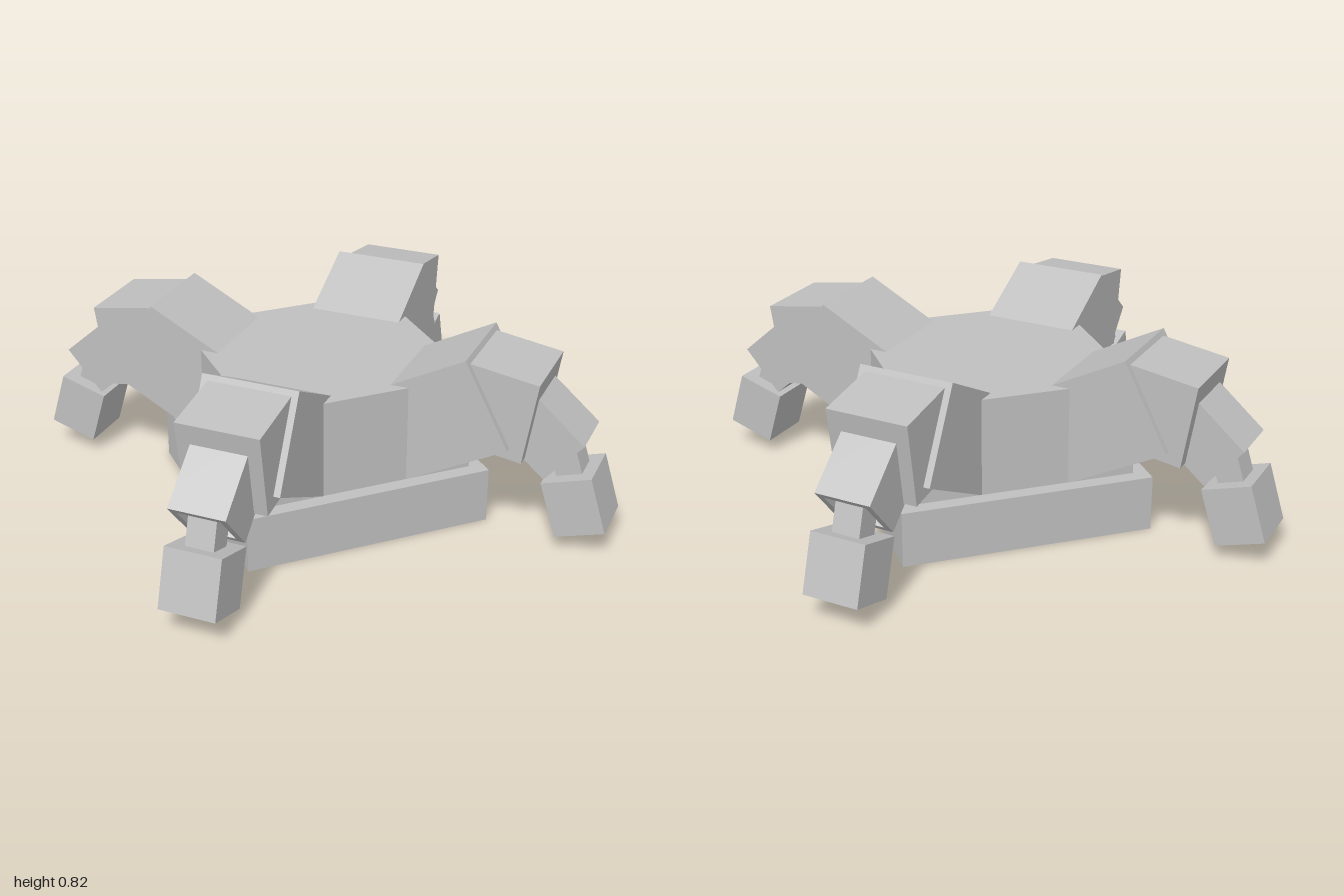
import * as THREE from 'three';

const grey = new THREE.MeshStandardMaterial({ color: 0xbfbfbf });
grey.name = 'plain grey';

function mesh(name, geometry) {
  const m = new THREE.Mesh(geometry, grey);
  m.name = name;
  return m;
}

// Box hung from its outer top edge at (y, z), pitched down by some degrees
function limb(name, y, z, pitch, width, depth, length) {
  const geometry = new THREE.BoxGeometry(width, depth, length);
  geometry.translate(0, -depth / 2, -length / 2);
  return place(mesh(name, geometry), y, z, pitch);
}

function place(m, y, z, pitch) {
  m.position.set(0, y, z);
  m.rotation.x = THREE.MathUtils.degToRad(pitch);
  return m;
}

function rectangle(target, halfWidth, top, bottom) {
  target.moveTo(-halfWidth, bottom);
  target.lineTo(halfWidth, bottom);
  target.lineTo(halfWidth, top);
  target.lineTo(-halfWidth, top);
  target.closePath();
  return target;
}

// Elbow block with a square socket in its outer end
function elbow() {
  const width = 0.24, depth = 0.24, wall = 0.03, socket = 0.1;
  const g = new THREE.Group();
  g.name = 'elbow';
  const shape = rectangle(new THREE.Shape(), width / 2, 0, -depth);
  shape.holes.push(rectangle(new THREE.Path(), width / 2 - wall, -wall, wall - depth));
  const rim = new THREE.ExtrudeGeometry(shape, { depth: socket, bevelEnabled: false });
  rim.translate(0, 0, -socket);
  g.add(mesh('elbowSocket', rim));
  const core = new THREE.BoxGeometry(width, depth, 0.24);
  core.translate(0, -depth / 2, -socket - 0.12);
  g.add(mesh('elbowBlock', core));
  return place(g, 0.497, 1.18, 41);
}

// One arm reaching along +z
function arm() {
  const g = new THREE.Group();
  g.name = 'arm';
  g.add(
    limb('shoulder', 0.822, 0.70, -27.5, 0.41, 0.41, 0.6),
    limb('upperArm', 0.755, 0.997, 9, 0.354, 0.36, 0.3),
    elbow(),
    limb('forearm', 0.51, 1.115, -17, 0.12, 0.2, 0.11),
    limb('hand', 0.358, 1.219, -17, 0.24, 0.247, 0.215)
  );
  return g;
}

export function createModel() {
  const model = new THREE.Group();
  model.name = 'fourArmedBlock';

  // Plinth and body
  const base = mesh('base', new THREE.BoxGeometry(1.075, 0.24, 1.075));
  base.position.y = 0.12;
  const body = mesh('body', new THREE.BoxGeometry(0.95, 0.42, 0.95));
  body.position.y = 0.45;
  model.add(base, body);

  // Four arms on the diagonals
  for (let i = 0; i < 4; i++) {
    const a = arm();
    a.rotation.y = Math.PI / 4 + i * Math.PI / 2;
    model.add(a);
  }
  return model;
}
